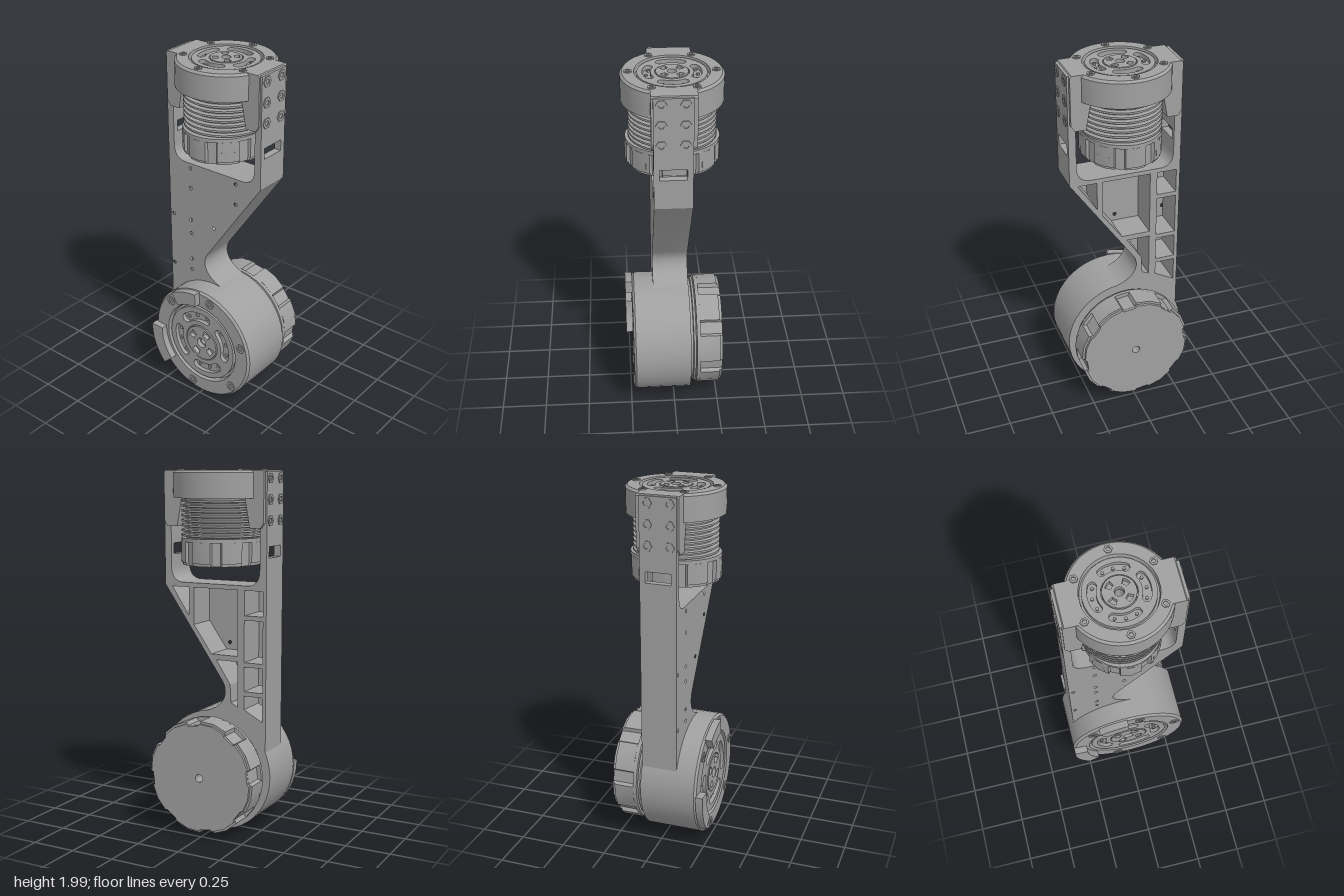
import * as THREE from 'three';
import { toCreasedNormals } from 'three/addons/utils/BufferGeometryUtils.js';

const TAU = Math.PI * 2;

export function createModel() {
  const metal = new THREE.MeshStandardMaterial({ color: 0xa0a0a0 });
  metal.name = 'machined grey';
  const model = new THREE.Group();
  model.name = 'jointedLink';

  // ---- helpers ----
  const add = (parent, name, geo, x = 0, y = 0, z = 0) => {
    const m = new THREE.Mesh(toCreasedNormals(geo, 0.5), metal);
    m.name = name;
    m.position.set(x, y, z);
    parent.add(m);
    return m;
  };
  const group = (parent, name, x = 0, y = 0, z = 0) => {
    const g = new THREE.Group();
    g.name = name;
    g.position.set(x, y, z);
    parent.add(g);
    return g;
  };
  const extrude = (shape, depth, curveSegments = 16) =>
    new THREE.ExtrudeGeometry(shape, { depth, bevelEnabled: false, curveSegments });
  const poly = (pts, Type = THREE.Shape) => new Type(pts.map(p => new THREE.Vector2(p[0], p[1])));
  const hole = (x, y, r) => new THREE.Path().absarc(x, y, r, 0, TAU, true);
  const disc = (r, inner) => {
    const s = new THREE.Shape().absarc(0, 0, r, 0, TAU, false);
    if (inner) s.holes.push(hole(0, 0, inner));
    return s;
  };
  // closed profile of [radius, z], turned about z
  const turned = pts => new THREE.LatheGeometry(pts.map(p => new THREE.Vector2(p[0], p[1])), 48).rotateX(Math.PI / 2);
  const sector = (r0, r1, a0, a1, Type = THREE.Shape) => {
    const p = new Type();
    p.absarc(0, 0, r1, a0, a1, false);
    p.absarc(0, 0, r0, a1, a0, true);
    p.closePath();
    return p;
  };
  const bean = (r, w, a, span) => {
    const p = new THREE.Path();
    const at = t => [Math.cos(t) * r, Math.sin(t) * r];
    p.absarc(0, 0, r + w, a - span, a + span, false);
    p.absarc(...at(a + span), w, a + span, a + span + Math.PI, false);
    p.absarc(0, 0, r - w, a + span, a - span, true);
    p.absarc(...at(a - span), w, a - span + Math.PI, a - span + TAU, false);
    return p;
  };
  const hex = r => poly(Array.from({ length: 6 }, (_, i) => [Math.cos(i * TAU / 6) * r, Math.sin(i * TAU / 6) * r]));
  const boltHead = (r, h) => {
    const s = hex(r);
    s.holes.push(hole(0, 0, r * 0.5));
    return extrude(s, h, 3);
  };

  // ---- motor parts, built along z with the output face at z = 0 ----
  const flange = (g, R, s, depth) => add(g, 'flange', turned([
    [0.022, -depth], [R, -depth], [R, -0.012], [R - 0.012, 0], [0.192 * s, 0],
    [0.188 * s, -0.028], [0.022, -0.028], [0.022, -depth]]));

  const outputFace = (g, s, turn, boltRadius, boltTurn) => {
    const f = group(g, 'outputFace');
    const plate = disc(0.178 * s, 0.088 * s);
    for (let i = 0; i < 4; i++) {
      const a = turn + i * TAU / 4;
      plate.holes.push(bean(0.13 * s, 0.021 * s, a, 0.46));
      for (const o of [-0.42, 0, 0.42]) {
        const pin = new THREE.CylinderGeometry(0.009 * s, 0.009 * s, 0.01, 5).rotateX(Math.PI / 2);
        add(f, 'facePin', pin, Math.cos(a + o) * 0.13 * s, Math.sin(a + o) * 0.13 * s, -0.023);
      }
    }
    add(f, 'outputPlate', extrude(plate, 0.023), 0, 0, -0.028);
    const hub = disc(0.083 * s, 0.024 * s);
    for (let i = 0; i < 4; i++) {
      const a = turn + (i + 0.5) * TAU / 4;
      hub.holes.push(sector(0.042 * s, 0.07 * s, a - 0.3, a + 0.3, THREE.Path));
    }
    add(f, 'outputHub', extrude(hub, 0.026), 0, 0, -0.028);
    for (let i = 0; i < 6; i++) {
      const a = boltTurn + i * TAU / 6;
      add(f, 'flangeBolt', boltHead(0.022 * s, 0.006), Math.cos(a) * boltRadius, Math.sin(a) * boltRadius, 0);
    }
  };

  // notched rear can with stepped end cap
  const rearCan = (g, R, z0, z1, turn) => {
    const outline = (r, notch) => {
      const pts = [];
      for (let i = 0; i < 8; i++) {
        for (const [o, k] of [[-0.25, 1], [0, 1.01], [0.25, 1], [0.28, notch], [0.505, notch]]) {
          const a = turn + i * TAU / 8 + o;
          pts.push([Math.cos(a) * r * k, Math.sin(a) * r * k]);
        }
      }
      const s = poly(pts);
      s.holes.push(hole(0, 0, 0.022));
      return s;
    };
    const can = group(g, 'rearCan');
    add(can, 'canCollar', extrude(disc(R, 0.022), 0.02), 0, 0, z1 - 0.02);
    add(can, 'canWall', extrude(outline(R, 0.93), z1 - z0 - 0.035), 0, 0, z0 + 0.015);
    add(can, 'canCap', extrude(outline(R * 0.96, 0.965), 0.015), 0, 0, z0);
    for (let i = 0; i < 4; i++) {
      const a = turn + (i + 0.5) * TAU / 4;
      const c = add(can, 'connector', new THREE.BoxGeometry(0.03, 0.08, 0.035),
        Math.cos(a) * R * 0.93, Math.sin(a) * R * 0.93, (z0 + z1) / 2 - 0.02);
      c.rotation.z = a;
    }
    return can;
  };

  // ---- lower motor, facing the front ----
  const lower = group(model, 'lowerMotor', 0, 0.345, 0.23);
  flange(lower, 0.34, 1.28, 0.32);
  outputFace(lower, 1.28, 0.26, 0.295, 0.3);
  add(lower, 'neck', turned([[0.022, -0.37], [0.29, -0.37], [0.29, -0.352], [0.305, -0.35],
    [0.305, -0.338], [0.29, -0.335], [0.29, -0.31], [0.022, -0.31], [0.022, -0.37]]));
  rearCan(lower, 0.315, -0.5, -0.355, 0.26);
  // raised stops on the rim
  add(lower, 'rimStop', extrude(sector(0.262, 0.339, 3.1, 3.87), 0.04), 0, 0, -0.002);
  add(lower, 'rimStop', extrude(sector(0.262, 0.339, 1.6, 2.13), 0.04), 0, 0, -0.002);

  // ---- upper motor, facing up ----
  const upper = group(model, 'upperMotor', 0, 1.99, 0);
  upper.rotation.x = -Math.PI / 2;
  flange(upper, 0.265, 1, 0.145);
  outputFace(upper, 1, 0, 0.222, Math.PI / 2);
  const fins = [[0.022, -0.37], [0.2, -0.37]];
  for (let i = 0; i < 8; i++) {
    const z = -0.352 + i * 0.026;
    fins.push([0.208, z], [0.23, z + 0.004], [0.23, z + 0.014], [0.208, z + 0.018]);
  }
  fins.push([0.2, -0.13], [0.022, -0.13], [0.022, -0.37]);
  add(upper, 'coolingFins', turned(fins)).scale.x = 0.95;
  rearCan(upper, 0.247, -0.5, -0.355, 0).scale.x = 0.87;

  // ---- link body: front skin over a ribbed frame open at the back ----
  const linkOutline = () => {
    const s = new THREE.Shape();
    s.moveTo(-0.31, 0.4);
    s.lineTo(-0.31, 1.47);
    s.lineTo(-0.27, 1.47);
    s.quadraticCurveTo(-0.27, 1.39, -0.2, 1.385);
    s.lineTo(0.2, 1.385);
    s.quadraticCurveTo(0.27, 1.39, 0.27, 1.47);
    s.lineTo(0.31, 1.47);
    s.lineTo(0.31, 1.37);
    s.lineTo(-0.045, 0.86);
    s.bezierCurveTo(-0.1, 0.78, -0.04, 0.7, 0.07, 0.675);
    s.lineTo(0.07, 0.4);
    s.closePath();
    return s;
  };
  const link = group(model, 'link');
  const skin = linkOutline();
  for (const [x, y] of [[-0.16, 1.355], [0.15, 1.355], [-0.16, 1.235], [0.15, 1.235], [-0.285, 1.04],
    [-0.16, 1.04], [0, 1.04], [-0.16, 0.955], [-0.16, 0.79], [-0.29, 0.72], [-0.16, 0.72]]) {
    skin.holes.push(hole(x, y, 0.01));
  }
  add(link, 'frontSkin', extrude(skin, 0.022, 10), 0, 0, 0.088);
  const frame = linkOutline();
  const pockets = [
    [[-0.29, 1.225], [-0.18, 1.225], [-0.18, 1.36], [-0.29, 1.36]],
    [[-0.29, 0.97], [-0.18, 0.97], [-0.18, 1.2], [-0.29, 1.2]],
    [[-0.29, 0.81], [-0.18, 0.81], [-0.18, 0.945], [-0.29, 0.945]],
    [[-0.29, 0.65], [-0.18, 0.71], [-0.18, 0.785], [-0.29, 0.785]],
    [[-0.14, 1.0], [0.02, 1.0], [0.13, 1.155], [0.13, 1.36], [-0.14, 1.36]],
    [[-0.14, 0.72], [-0.1, 0.74], [-0.095, 0.84], [-0.01, 0.97], [-0.14, 0.97]],
    [[0.16, 1.2], [0.265, 1.36], [0.16, 1.36]],
  ];
  for (const p of pockets) frame.holes.push(poly(p, THREE.Path));
  add(link, 'ribbedFrame', extrude(frame, 0.178, 10), 0, 0, -0.09);

  // ---- fork arms with cable slot, mounting pads and bolts ----
  for (const side of [-1, 1]) {
    const arm = group(model, side > 0 ? 'leftArm' : 'rightArm');
    const plate = poly([[-0.11, 1.46], [0.09, 1.46], [0.09, 1.985], [-0.11, 1.985]]);
    plate.holes.push(poly([[-0.08, 1.535], [0.06, 1.535], [0.06, 1.595], [-0.08, 1.595]], THREE.Path));
    add(arm, 'armPlate', extrude(plate, 0.04).rotateY(Math.PI / 2), side > 0 ? 0.27 : -0.31);
    const pad = poly([[0.19, 1.85], [0.22, 1.69], [0.28, 1.69], [0.3, 1.72], [0.3, 1.98], [0.29, 1.99], [0.19, 1.99]]
      .map(([x, y]) => [x * side, y]));
    add(arm, 'mountingPad', extrude(pad, 0.23), 0, 0, -0.11);
    for (const y of [1.73, 1.84, 1.95]) {
      for (const z of [-0.05, 0.07]) {
        add(arm, 'armBolt', boltHead(0.03, 0.005), side * 0.31, y, z).rotation.y = side * Math.PI / 2;
      }
    }
  }
  return model;
}
